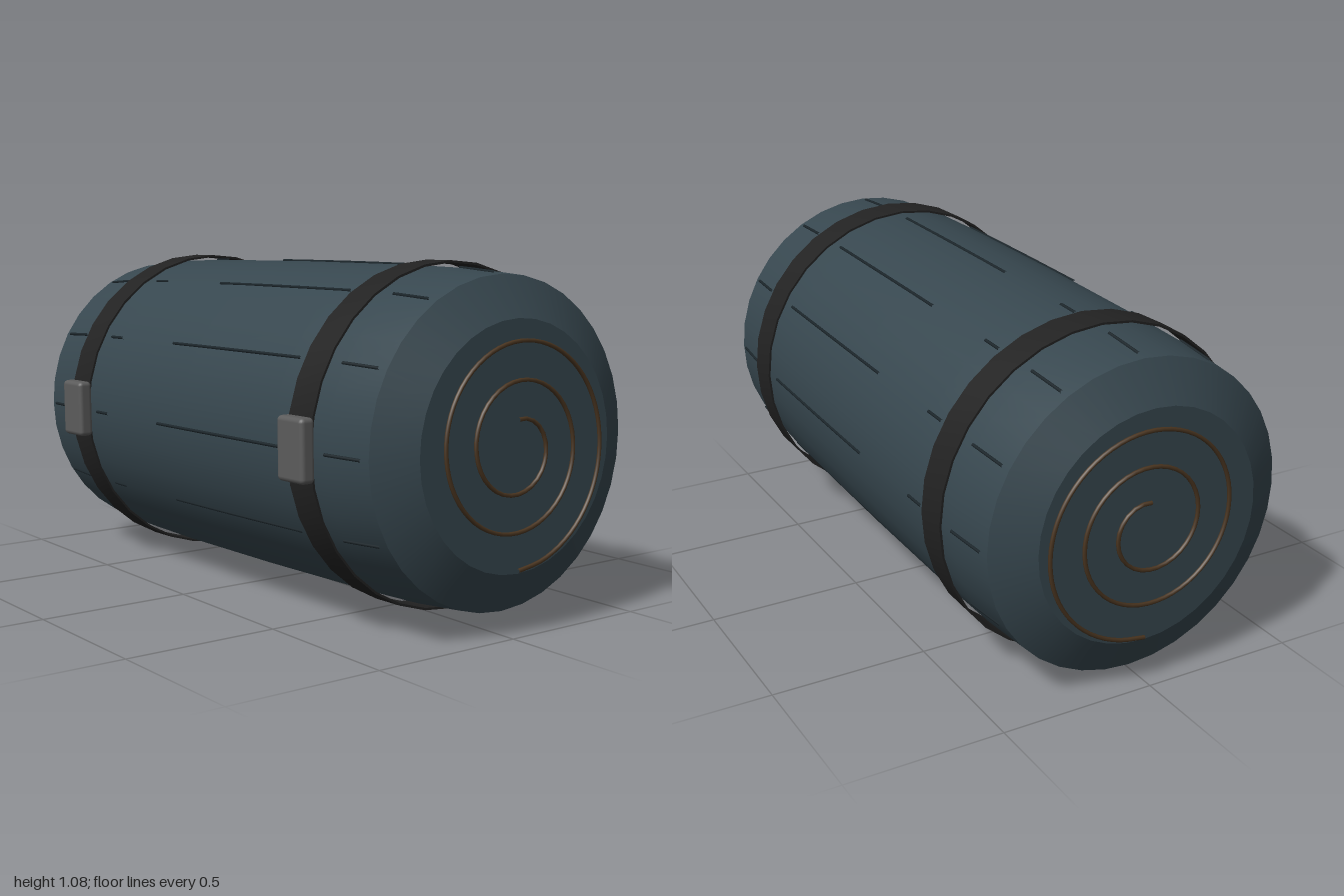
import * as THREE from 'three';
import { toCreasedNormals } from 'three/addons/utils/BufferGeometryUtils.js';
import { RoundedBoxGeometry } from 'three/addons/geometries/RoundedBoxGeometry.js';

const material = (name, color) => {
  const m = new THREE.MeshStandardMaterial({ color });
  m.name = name;
  return m;
};

// Lathe turned so that its axis runs along x; profile points are [radius, x]
function turned(profile, sides) {
  const points = profile.map(([r, x]) => new THREE.Vector2(r, x));
  const g = new THREE.LatheGeometry(points, sides);
  g.rotateZ(-Math.PI / 2);
  return toCreasedNormals(g, 0.4);
}

export function createModel() {
  const fabric = material('slate fabric', 0x37474f);
  const stitch = material('dark seam', 0x1c262b);
  const webbing = material('black webbing', 0x222222);
  const metal = material('grey buckle', 0x5c5c5c);
  const cord = material('brown cord', 0x4a3520);

  const model = new THREE.Group();
  model.name = 'bedroll';
  const roll = new THREE.Group();
  roll.name = 'tiltedRoll';
  roll.position.set(0, 0.542, -0.017);
  roll.rotation.z = 0.0185;
  model.add(roll);

  const add = (name, geometry, mat) => {
    const mesh = new THREE.Mesh(geometry, mat);
    mesh.name = name;
    roll.add(mesh);
    return mesh;
  };

  // Rolled fabric with chamfered, flat ends
  const half = [[0.516, 0], [0.513, 0.5], [0.507, 0.75], [0.494, 0.92], [0.37, 0.988], [0, 0.988]];
  const left = half.slice(1).reverse().map(([r, x]) => [r, -x]);
  add('rolledFabric', turned([...left, ...half], 36), fabric);

  const radiusAt = (x) => {
    const a = Math.abs(x);
    const i = half.findIndex(([, hx]) => hx >= a);
    if (i <= 0) return half[0][0];
    const [r0, x0] = half[i - 1], [r1, x1] = half[i];
    return r0 + (r1 - r0) * (a - x0) / (x1 - x0);
  };

  // Broken seams along the sides and top
  const runs = [[-0.89, -0.74], [-0.56, -0.48], [-0.15, 0.55], [0.74, 0.89]];
  for (let k = -1; k <= 7; k++) {
    const a = k * Math.PI / 6;
    for (const [x0, x1] of runs) {
      const pts = [x0, (x0 + x1) / 2, x1].map((x) => {
        const r = radiusAt(x) + 0.001;
        return new THREE.Vector3(x, r * Math.sin(a), r * Math.cos(a));
      });
      add('seam', new THREE.TubeGeometry(new THREE.CatmullRomCurve3(pts), 6, 0.005, 6), stitch);
    }
  }

  // Straps and their buckles
  for (const x of [-0.65, 0.645]) {
    const w = 0.056, inner = 0.522, outer = 0.529;
    add('strap', turned([[outer, x - w], [outer, x + w], [inner, x + w], [inner, x - w], [outer, x - w]], 32), webbing);
    add('buckle', new RoundedBoxGeometry(0.125, 0.19, 0.05, 2, 0.015), metal).position.set(x, 0.008, 0.538);
  }

  // Spiral cord on both ends
  for (const side of [-1, 1]) {
    const pts = [];
    for (let i = 0; i <= 60; i++) {
      const t = i / 24;
      const r = 0.08 + 0.1125 * t, a = t * Math.PI * 2;
      pts.push(new THREE.Vector3(side * 0.991, r * Math.cos(a), -r * Math.sin(a)));
    }
    add('endSpiral', new THREE.TubeGeometry(new THREE.CatmullRomCurve3(pts), 120, 0.0065, 6), cord);
  }

  return model;
}
